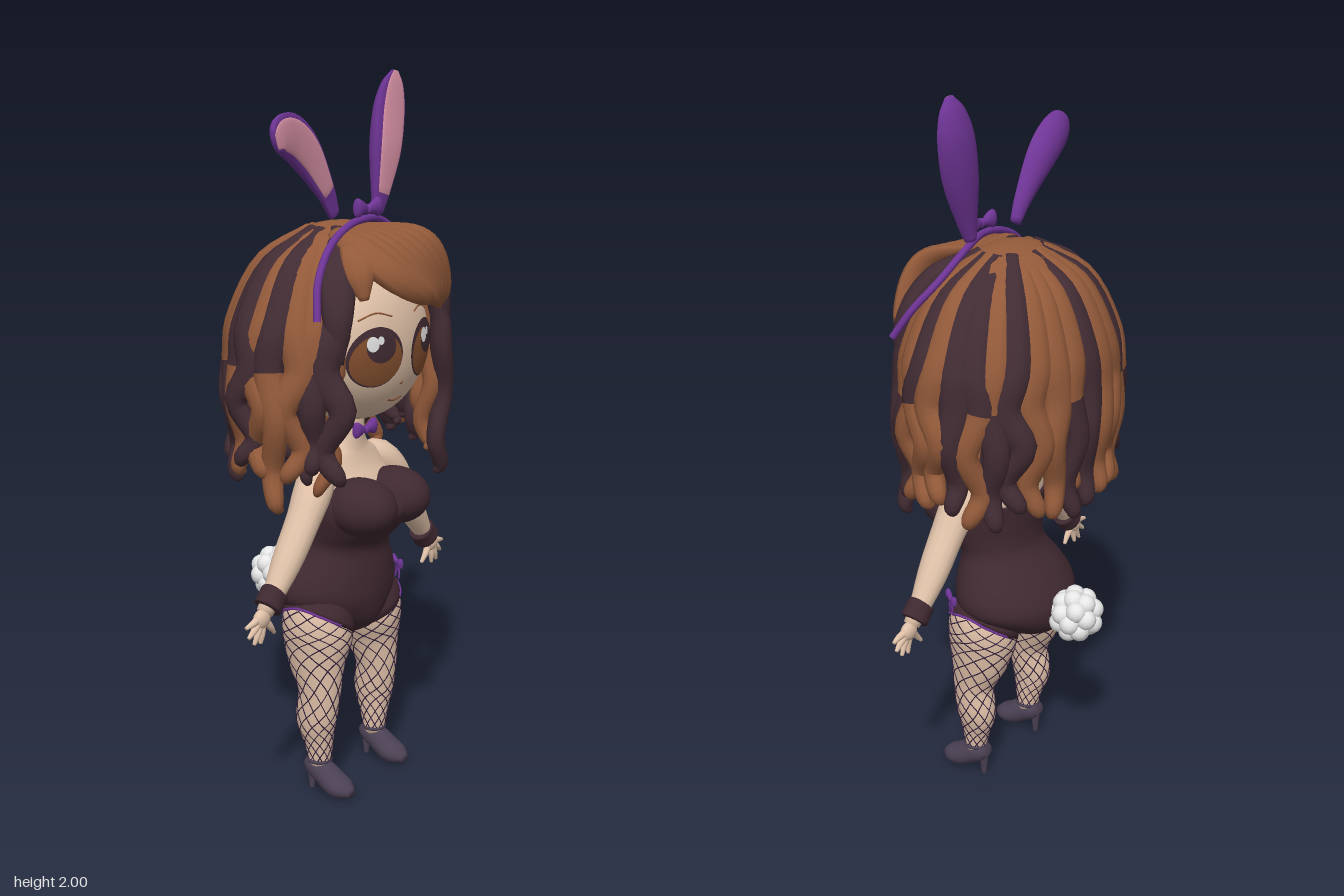
import * as THREE from 'three';

const mat = (name, color, side = THREE.FrontSide) => {
  const m = new THREE.MeshStandardMaterial({ color, side });
  m.name = name;
  return m;
};
const V = (x, y, z) => new THREE.Vector3(x, y, z);
const curve = pts => new THREE.CatmullRomCurve3(pts, false, 'catmullrom', 0.5);

// Rows are [x, y, z, radius along side, radius across]; flat squashes the side-facing half
function sampler(rows, side, flat = 1) {
  const path = curve(rows.map(r => V(r[0], r[1], r[2]))), size = curve(rows.map(r => V(r[3], r[4], 0)));
  return (u, angle, scale = 1) => {
    const p = path.getPoint(u), t = path.getTangent(u), r = size.getPoint(u), c = Math.cos(angle);
    const n = t.clone().cross(side).normalize(), s = n.clone().cross(t);
    return p.addScaledVector(s, (c > 0 ? c * flat : c) * r.x * scale).addScaledVector(n, Math.sin(angle) * r.y * scale);
  };
}

// Closed, smooth skin over at(u, angle)
function skinOver(at, sides, steps) {
  const pos = [], idx = [];
  for (let i = 0; i <= steps; i++)
    for (let j = 0; j < sides; j++) pos.push(...at(i / steps, j / sides * Math.PI * 2).toArray());
  const c0 = pos.length / 3, c1 = c0 + 1;
  pos.push(...at(0, 0, 0).toArray(), ...at(1, 0, 0).toArray());
  for (let i = 0; i < steps; i++)
    for (let j = 0; j < sides; j++) {
      const a = i * sides + j, b = i * sides + (j + 1) % sides;
      idx.push(a, b, b + sides, a, b + sides, a + sides);
    }
  for (let j = 0; j < sides; j++) {
    const k = (j + 1) % sides;
    idx.push(c0, k, j, c1, steps * sides + j, steps * sides + k);
  }
  const g = new THREE.BufferGeometry();
  g.setAttribute('position', new THREE.Float32BufferAttribute(pos, 3));
  g.setIndex(idx);
  g.computeVertexNormals();
  return g;
}
const sweep = (rows, side, sides = 12, steps = 18, flat = 1) => skinOver(sampler(rows, side, flat), sides, steps);

export function createModel() {
  const root = new THREE.Group();
  const skin = mat('skin', 0xe0c1a8), brown = mat('brown hair', 0x935a3a, THREE.DoubleSide);
  const dark = mat('dark hair', 0x422c34), suit = mat('suit', 0x402931);
  const purple = mat('purple', 0x6f3596), pink = mat('pink', 0xdd95a9), white = mat('white', 0xe8e8e8);
  const shoe = mat('shoe', 0x4b4154), net = mat('net', 0x35213f), iris = mat('iris', 0x85502f);
  const X = V(1, 0, 0), Z = V(0, 0, 1);
  const add = (name, geo, m, parent = root) => {
    const mesh = new THREE.Mesh(geo, m);
    mesh.name = name;
    parent.add(mesh);
    return mesh;
  };
  const group = (name, parent = root) => {
    const g = new THREE.Group();
    g.name = name;
    parent.add(g);
    return g;
  };
  const ball = (name, m, x, y, z, rx, ry = rx, rz = rx, parent = root, n = 28) =>
    add(name, new THREE.SphereGeometry(1, n, n * 0.7 | 0).scale(rx, ry, rz).translate(x, y, z), m, parent);
  const wire = (name, pts, r, m, parent = root, steps = 24, sides = 6) =>
    add(name, new THREE.TubeGeometry(new THREE.CatmullRomCurve3(pts), steps, r, sides), m, parent);
  let seed = 7;
  const rnd = () => (seed = (seed * 16807) % 2147483647) / 2147483647;

  // Torso: level rings, rows of height, half width, front z, back z
  const loft = rows => {
    const at = sampler(rows.map(([y, w, f, b]) => [0, y, 0, w, (f - b) / 2]), X);
    const mid = curve(rows.map(([y, , f, b]) => V(0, y, (f + b) / 2)));
    return skinOver((u, a, k) => at(u, a, k).setY(mid.getPoint(u).y).add(V(0, 0, mid.getPoint(u).z)), 32, 44);
  };
  add('bodysuit', loft([[.455, .03, .07, -.07], [.48, .075, .11, -.135], [.515, .13, .13, -.17], [.56, .187, .138, -.177],
    [.6, .2, .14, -.168], [.65, .182, .138, -.138], [.72, .143, .135, -.082], [.77, .15, .175, -.07],
    [.82, .164, .212, -.072], [.86, .167, .2, -.074], [.885, .163, .14, -.073]]), suit);
  add('chestAndNeck', loft([[.84, .14, .12, -.06], [.89, .157, .125, -.065], [.94, .15, .095, -.058], [.975, .118, .08, -.045],
    [1.0, .075, .075, -.03], [1.04, .052, .075, -.025], [1.12, .052, .075, -.025]]), skin);
  for (const s of [-1, 1]) ball('bust', suit, s * .08, .85, .135, .088, .08, .105);

  // Fluffy tail
  const tail = group('tail');
  ball('tailCore', white, 0, .567, -.225, .058, .058, .058, tail);
  for (let i = 0; i < 24; i++) {
    const y = 1 - 2 * (i + .5) / 24, r = Math.sqrt(1 - y * y), a = i * 2.39996;
    ball('tailPuff', white, Math.cos(a) * r * .052, .567 + y * .052, -.227 + Math.sin(a) * r * .052, .03, .03, .03, tail, 12);
  }

  // Limbs
  for (const s of [-1, 1]) {
    const leg = group(s > 0 ? 'leftLeg' : 'rightLeg');
    const rows = [[.11, .575, .01, .07, .085], [.117, .53, .012, .088, .1], [.12, .47, .015, .088, .104], [.13, .4, .02, .07, .09],
      [.137, .31, .035, .052, .064], [.14, .22, .025, .046, .062], [.135, .15, .03, .036, .044], [.133, .08, .033, .03, .03]]
      .map(([x, ...r]) => [s * x, ...r]);
    add('leg', sweep(rows, X, 24, 32), skin, leg);
    const at = sampler(rows, X);
    // Suit edge: high on the outer hip, low at the crotch and seat
    const edge = angle => {
      const y = .508 + .056 * s * Math.cos(angle) + .012 * Math.min(0, Math.sin(angle));
      let u = 0;
      while (at(u, angle).y > y) u += .004;
      return u;
    };
    add('legOpening', skinOver((u, a, k = 1) => at(u * edge(a), a, 1.03 * k), 40, 6), suit, leg);
    const trim = [];
    for (let k = 0; k <= 16; k++) {
      const a = (s > 0 ? 0 : Math.PI) + (k / 16 - .5) * 2.6;
      trim.push(at(edge(a), a, 1.03));
    }
    wire('legTrim', trim, .004, purple, leg);
    for (const d of [-1, 1])
      for (let i = 0; i < 10; i++) {
        const pts = [];
        for (let k = 0; k <= 40; k++) pts.push(at(.1 + k / 40 * .86, i / 10 * Math.PI * 2 + d * k / 40 * 6.5, 1.003));
        wire('fishnet', pts, .0017, net, leg, 64, 4);
      }
    const x = s * .134;
    add('shoe', sweep([[x, .085, -.008, .022, .018], [x, .078, .012, .031, .032], [x, .06, .05, .036, .036],
      [x, .037, .088, .041, .034], [x, .028, .12, .036, .027], [x, .022, .146, .015, .012]], X, 18, 22), shoe, leg);
    add('heel', new THREE.CylinderGeometry(.016, .007, .075, 12).translate(x, .0375, .004), shoe, leg);
    add('ankleStrap', new THREE.TorusGeometry(.031, .006, 8, 24).rotateX(Math.PI / 2).translate(x, .098, .032), shoe, leg);

    const arm = group(s > 0 ? 'leftArm' : 'rightArm');
    const limb = (name, m, pts) => add(name, sweep(pts.map(([px, ...r]) => [s * px, ...r]), Z, 14, 16), m, arm);
    limb('arm', skin, [[.08, .945, .02, .03, .03], [.135, .938, .032, .05, .048], [.18, .895, .045, .055, .049],
      [.225, .835, .05, .049, .043], [.29, .745, .05, .044, .039], [.345, .672, .05, .032, .029], [.39, .622, .05, .022, .024]]);
    limb('cuff', suit, [[.345, .668, .05, .03, .03], [.348, .665, .05, .037, .04], [.362, .649, .05, .037, .04],
      [.377, .633, .05, .038, .041], [.38, .63, .05, .03, .03]]);
    ball('palm', skin, s * .402, .608, .05, .029, .027, .018, arm, 16);
    for (const [tx, ty, bx, by] of [[.352, .555, .388, .6], [.408, .542, .4, .595], [.434, .546, .41, .595], [.456, .57, .415, .602], [.465, .601, .415, .612]])
      limb('finger', skin, [[bx, by, .05, .011, .011], [(bx + tx) / 2, (by + ty) / 2, .052, .009, .009], [tx, ty, .05, .005, .005]]);
  }

  // Bows
  const bow = (name, x, y, z, k, turn = 0) => {
    const g = group(name);
    for (const s of [-1, 1])
      add('bowLoop', sweep([[0, 0, 0, .1, .1], [s * .4, .05, 0, .22, .3], [s * .8, .08, 0, .24, .46], [s, .08, 0, .14, .34]], Z, 12, 10), purple, g);
    ball('bowKnot', purple, 0, 0, .05, .2, .24, .22, g, 14);
    g.position.set(x, y, z);
    g.rotation.y = turn;
    g.scale.setScalar(k);
    return g;
  };
  bow('headBow', 0, 1.642, .095, .056);
  bow('bowTie', 0, 1.045, .09, .05);
  const hip = bow('hipBow', .192, .605, .07, .034, 1);
  for (const s of [-1, 1])
    add('bowTail', sweep([[0, 0, 0, .08, .15], [s * .3, -.7, .05, .08, .2], [s * .4, -1.4, 0, .06, .15]], Z, 8, 8), purple, hip);

  // Head with a flattened face; face details hug its surface
  const H = { y: 1.292, z: .035, rx: .238, ry: .218, rz: .188 };
  const faceZ = (x, y) => H.z + H.rz * Math.max(0, 1 - (x / H.rx) ** 2 - ((y - H.y) / H.ry) ** 2) ** .37;
  const head = group('head');
  const face = new THREE.SphereGeometry(1, 48, 36).rotateX(Math.PI / 2), fp = face.attributes.position;
  for (let i = 0; i < fp.count; i++)
    if (fp.getZ(i) > 0) fp.setZ(i, fp.getZ(i) ** .74);
  face.scale(H.rx, H.ry, H.rz).translate(0, H.y, H.z).computeVertexNormals();
  add('face', face, skin, head);
  const patch = (name, m, cx, cy, rx, ry, lift) => {
    const g = new THREE.RingGeometry(.001, 1, 32, 8), p = g.attributes.position;
    for (let i = 0; i < p.count; i++) {
      const x = cx + p.getX(i) * rx, y = cy + p.getY(i) * ry;
      p.setXYZ(i, x, y, faceZ(x, y) + lift);
    }
    g.computeVertexNormals();
    add(name, g, m, head);
  };
  const line = (name, m, r, pts) => wire(name, pts.map(([x, y]) => V(x, y, faceZ(x, y))), r, m, head, 16);
  for (const s of [-1, 1]) {
    const x = s * .106;
    patch('eyeOutline', dark, x, 1.272, .086, .08, .003);
    patch('eyeIris', iris, x, 1.265, .08, .069, .005);
    patch('eyePupil', dark, x + .006, 1.3, .047, .042, .007);
    patch('eyeGlint', white, x - .024, 1.31, .018, .02, .009);
    patch('eyeGlint', white, x, 1.318, .01, .011, .009);
    line('eyebrow', brown, .0025, [[s * .05, 1.374], [s * .1, 1.386], [s * .155, 1.37]]);
  }
  line('nose', iris, .003, [[-.006, 1.192], [0, 1.189], [.006, 1.192]]);
  line('mouth', iris, .003, [[-.032, 1.146], [0, 1.139], [.032, 1.146]]);

  // Hair cap, open over the face
  const hair = group('hair'), C = { y: 1.35, rx: .315, ry: .26, rz: .235 };
  add('hairCap', new THREE.SphereGeometry(1, 40, 24, 0, Math.PI * 2, 0, 1.75).rotateX(-.87)
    .scale(C.rx * .97, C.ry, C.rz * .97).translate(0, C.y, 0), brown, hair);

  // Hanging wavy locks round the sides and back, some changing colour halfway
  const lock = (deg, m, tipMat, yEnd, k, start, width) => {
    const a = deg * Math.PI / 180, sx = Math.sin(a), cz = Math.cos(a), w = (rnd() - .5) * .055;
    const rows = [];
    const put = (y, r, shift, wd, d) => rows.push([sx * C.rx * r + cz * shift, y, cz * C.rz * r - sx * shift, wd * width, d]);
    for (const [deg2, wd, d, f] of [[start, .016, .006, .965], [(start + 85) / 2, .036, .022, .94], [88, .046, .029, .99]]) {
      const t = deg2 * Math.PI / 180;
      put(C.y + C.ry * Math.cos(t) * k * f, Math.sin(t) * k * f, 0, wd, d);
    }
    const span = 1.25 - yEnd;
    put(1.25, k * 1.03, w, .044, .031);
    put(1.25 - span * .35, k * 1.08, -w, .036, .028);
    put(1.25 - span * .7, k * .99, w, .031, .026);
    put(1.25 - span * .92, k * 1.06, -w * .4, .024, .022);
    put(yEnd, k * 1.02, -w, .01, .01);
    const g = sweep(rows, V(cz, 0, -sx), 10, 30), split = 13 * 10 * 6;
    g.addGroup(0, split, 0);
    g.addGroup(split, Infinity, 1);
    add('hairLock', g, [m, tipMat], hair);
  };
  const pick = c => c === 'D' ? dark : brown;
  const tops = 'DBBDBDDBDBBBDBBDBBDDBDBBD', tips = 'DDBBBDBDDBBDDBBBDDBDBBBDD';
  for (let i = 0; i < 25; i++) {
    const deg = 48 + i * 11, inner = pick(tips[i] === 'D' ? 'B' : 'D');
    lock(deg, pick(tops[i]), pick(tips[i]), .88 + rnd() * .12, 1 + rnd() * .04, 18, 1);
    if (i < 24) lock(deg + 5.5, inner, inner, .92 + rnd() * .14, .92, 60, .75);
  }

  // Fringe swept from the model's right to its left
  const fringe = (m, rows, side = X) => add('fringeLock', sweep(rows, side, 10, 20), m, hair);
  for (let i = 0; i < 7; i++) {
    const f = i / 6;
    fringe(brown, [[-.1 + .14 * f, 1.585, .06, .025, .012], [-.13 + .23 * f, 1.55 + .015 * f, .165, .045, .024],
      [-.1 + .25 * f, 1.49 + .025 * f, .242 - .04 * f, .048, .026], [-.01 + .22 * f, 1.44 - .02 * f, .272 - .075 * f, .036, .022],
      [.07 + .15 * f, 1.41 - .045 * f, .265 - .085 * f, .012, .011]], V(.85, .5, 0));
  }
  const L = V(.7, 0, .7), R = V(.7, 0, -.7);
  fringe(brown, [[-.08, 1.58, .08, .02, .014], [-.14, 1.54, .16, .045, .024], [-.175, 1.49, .195, .04, .022], [-.18, 1.43, .215, .012, .01]], L);
  fringe(dark, [[-.1, 1.57, .08, .02, .014], [-.19, 1.5, .14, .045, .026], [-.24, 1.39, .175, .04, .026], [-.24, 1.27, .18, .012, .01]], L);
  fringe(dark, [[.09, 1.58, .08, .02, .014], [.17, 1.52, .14, .045, .026], [.235, 1.41, .175, .042, .026], [.24, 1.27, .185, .012, .01]], R);

  // Headband and ears
  wire('headband', [V(-.31, 1.385, .165), V(-.275, 1.475, .14), V(-.19, 1.56, .115), V(-.09, 1.605, .1), V(0, 1.617, .09),
    V(.13, 1.6, .055), V(.225, 1.54, .065), V(.28, 1.475, .105), V(.31, 1.4, .15)], .01, purple, root, 48, 8);
  const ear = (name, rows) => {
    const g = group(name);
    add('earShell', sweep(rows, Z, 20, 26, .2), purple, g);
    add('earInner', sweep(rows.slice(1).map(([x, y, z, t, w]) => [x, y, z + t * .2, t * .12, w * .76]), Z, 20, 26), pink, g);
  };
  ear('leftEar', [[.1, 1.625, .06, .02, .018], [.112, 1.675, .062, .03, .033], [.142, 1.79, .06, .048, .06],
    [.168, 1.89, .052, .045, .064], [.182, 1.96, .05, .03, .046], [.188, 1.998, .05, .01, .014]]);
  ear('rightEar', [[-.095, 1.63, .06, .02, .018], [-.132, 1.692, .062, .03, .031], [-.21, 1.78, .068, .045, .053],
    [-.28, 1.825, .078, .045, .058], [-.35, 1.838, .095, .034, .05], [-.395, 1.822, .11, .012, .025]]);
  return root;
}
